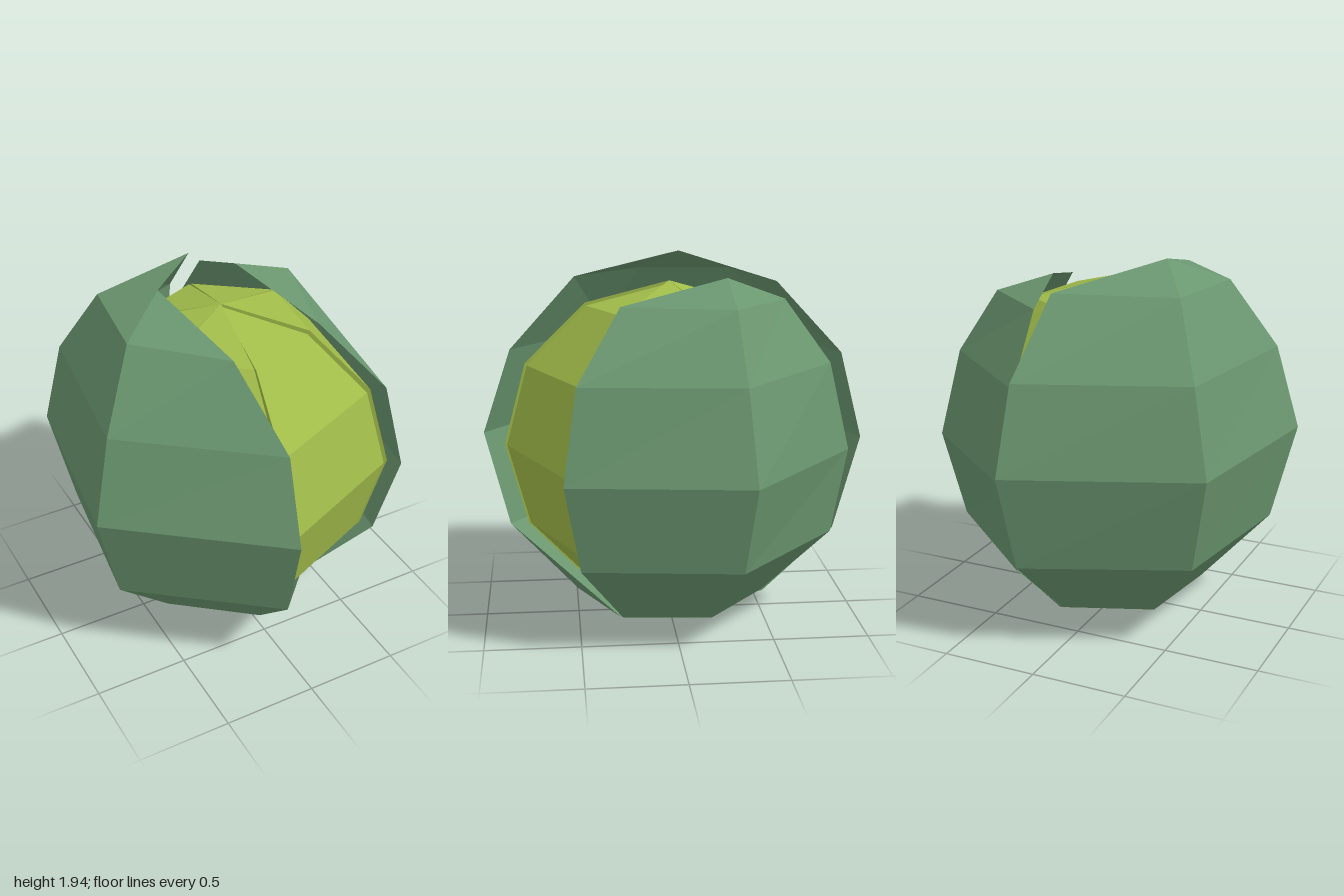
import * as THREE from 'three';

const peelMaterial = new THREE.MeshStandardMaterial({ color: 0x6b9770, flatShading: true, side: THREE.DoubleSide });
const pulpMaterial = new THREE.MeshStandardMaterial({ color: 0xa2bd4a, flatShading: true });

// Faceted mesh from a list of polygons, each fanned from its first corner
function facetMesh(name, polygons, material) {
  const positions = [];
  for (const p of polygons) {
    for (let i = 1; i < p.length - 1; i++) positions.push(...p[0], ...p[i], ...p[i + 1]);
  }
  const geometry = new THREE.BufferGeometry();
  geometry.setAttribute('position', new THREE.Float32BufferAttribute(positions, 3));
  geometry.computeVertexNormals();
  const mesh = new THREE.Mesh(geometry, material);
  mesh.name = name;
  return mesh;
}

// Bands between neighbouring meridians, each running from the top pole to the bottom pole
function skin(meridians) {
  const polygons = [];
  for (let m = 0; m < meridians.length - 1; m++) {
    const a = meridians[m], b = meridians[m + 1], n = a.length - 1;
    polygons.push([a[0], b[1], a[1]]);
    for (let i = 1; i < n - 1; i++) polygons.push([a[i], b[i], b[i + 1], a[i + 1]]);
    polygons.push([a[n - 1], b[n - 1], a[n]]);
  }
  return polygons;
}

// One wedge of pulp: outer skin and two flat side walls meeting on the axis
function pulpSegment(name, startDeg, radius) {
  const gap = 0.9;
  const meridian = (deg) => {
    const a = THREE.MathUtils.degToRad(deg);
    return Array.from({ length: 7 }, (_, i) => {
      const t = i * Math.PI / 6, r = radius * Math.sin(t);
      return [r * Math.cos(a), 0.93 + radius * Math.cos(t), r * Math.sin(a)];
    });
  };
  const a = meridian(startDeg + gap), b = meridian(startDeg + 60 - gap);
  return facetMesh(name, [...skin([a, b]), a, [...b].reverse()], pulpMaterial);
}

// Meridian of a peel piece: ring heights shared, x and z given ring by ring
const peelMeridian = (top, heights, xz, bottom) =>
  [top, ...xz.map(([x, z], i) => [x, heights[i], z]), bottom];

export function createModel() {
  const group = new THREE.Group();

  // Six pulp segments; the exposed front one is slightly recessed
  const pulp = new THREE.Group();
  pulp.name = 'pulp';
  for (let i = 0; i < 6; i++) {
    pulp.add(pulpSegment(i === 0 ? 'frontSegment' : 'segment' + i, 36.7 + i * 60, i === 0 ? 0.872 : 0.888));
  }
  group.add(pulp);

  // Large peel piece on the right, leaning outward
  const topA = [-0.31, 1.94, -0.08], bottomA = [0.04, 0, 0];
  const heightsA = [1.82, 1.45, 1.0, 0.49, 0.12];
  const large = [
    [[-0.2, 0.49], [-0.09, 0.84], [-0.1, 0.99], [-0.08, 0.86], [-0.03, 0.5]],
    [[-0.574, 0.12], [-0.78, 0.3], [-0.89, 0.37], [-0.77, 0.32], [-0.43, 0.18]],
    [[-0.505, -0.38], [-0.66, -0.57], [-0.75, -0.62], [-0.65, -0.53], [-0.36, -0.32]],
    [[0.1, -0.55], [0.15, -0.89], [0.18, -1.0], [0.15, -0.87], [0.1, -0.5]],
  ].map((xz) => peelMeridian(topA, heightsA, xz, bottomA));
  // Torn flap that runs on beneath the open front
  const low = large[0][4], rim = large[0][5], tip = [0.36, 0.1, 0.29];
  group.add(facetMesh('largePeel', [...skin(large), [low, tip, rim], [rim, tip, bottomA]], peelMaterial));

  // Small peel piece on the left
  const topB = [0.23, 1.855, -0.275], bottomB = [0.02, 0.02, -0.02];
  const heightsB = [1.74, 1.4, 0.93, 0.47, 0.12];
  const small = [
    [[0.18, -0.58], [0.17, -0.83], [0.17, -0.94], [0.15, -0.86], [0.08, -0.5]],
    [[0.555, -0.28], [0.78, -0.305], [0.89, -0.345], [0.78, -0.3], [0.46, -0.18]],
    [[0.4, 0.28], [0.68, 0.51], [0.77, 0.58], [0.68, 0.5], [0.42, 0.28]],
  ].map((xz) => peelMeridian(topB, heightsB, xz, bottomB));
  group.add(facetMesh('smallPeel', skin(small), peelMaterial));

  return group;
}
